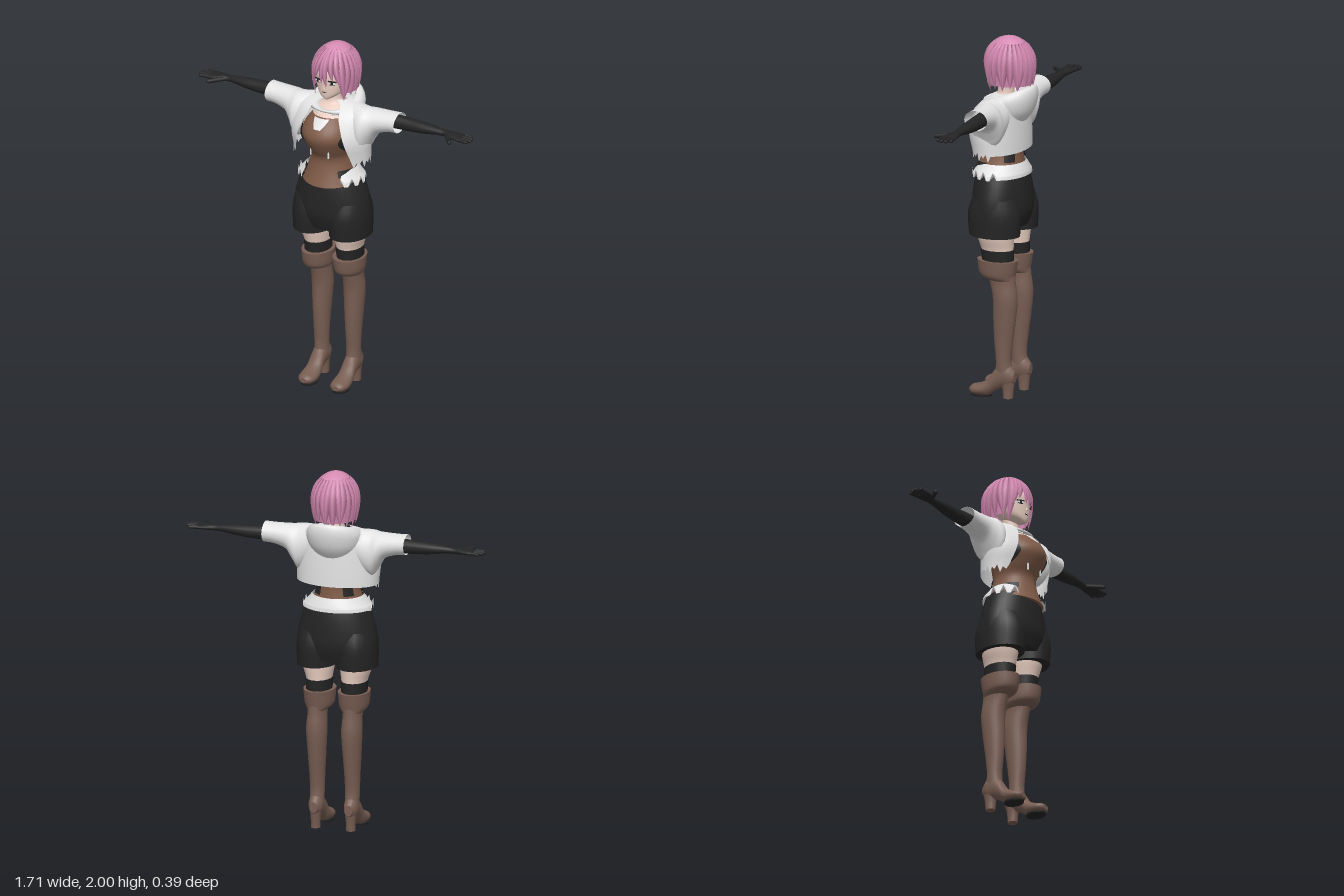
import * as THREE from 'three';

const mat = (name, color, side = THREE.FrontSide) => {
  const m = new THREE.MeshStandardMaterial({ color, side });
  m.name = name;
  return m;
};

// Surface from rows of points; faces are turned outwards from the centre of the part
function grid(rows, wrap) {
  const n = rows[0].length, pos = rows.flat(2), idx = [];
  const P = i => new THREE.Vector3().fromArray(pos, i * 3);
  for (let r = 0; r < rows.length - 1; r++)
    for (let j = 0; j < (wrap ? n : n - 1); j++) {
      const a = r * n + j, b = r * n + (j + 1) % n, c = a + n, d = b + n;
      idx.push(a, b, c, b, d, c);
    }
  const centre = new THREE.Vector3();
  rows.flat().forEach(p => centre.add(new THREE.Vector3(...p)));
  centre.divideScalar(pos.length / 3);
  let volume = 0;
  for (let i = 0; i < idx.length; i += 3) {
    const [a, b, c] = [0, 1, 2].map(k => P(idx[i + k]).sub(centre));
    volume += a.dot(b.cross(c));
  }
  if (volume < 0) idx.reverse();
  const g = new THREE.BufferGeometry();
  g.setAttribute('position', new THREE.Float32BufferAttribute(pos, 3));
  g.setIndex(idx);
  g.computeVertexNormals();
  return g;
}

// Smooth loft. Ring: [position on axis, side centre, side radius, front, back, tilt]
function loft(rings, { axis = 'y', seg = 24, sub = 4, range, caps = !range, jag, s = 1 } = {}) {
  const at = i => rings[Math.max(0, Math.min(rings.length - 1, i))];
  const rows = [], total = (rings.length - 1) * sub;
  for (let k = 0; k <= total; k++) {
    const i = Math.min(Math.floor(k / sub), rings.length - 2), u = k / sub - i;
    const [t, c, r, f, b, tilt = 0] = at(i).map((_, q) => {
      const [p0, p1, p2, p3] = [at(i - 1)[q], at(i)[q], at(i + 1)[q], at(i + 2)[q]];
      return p1 + 0.5 * u * (p2 - p0 + u * (2 * p0 - 5 * p1 + 4 * p2 - p3 + u * (3 * (p1 - p2) + p3 - p0)));
    });
    const [a0, a1] = range ? range(t) : [0, Math.PI * 2], row = [];
    for (let j = 0; j < (range ? seg + 1 : seg); j++) {
      const a = a0 + (a1 - a0) * j / seg;
      const x = c + r * Math.sin(a), z = (f + b) / 2 + (f - b) / 2 * Math.cos(a);
      const y = t + tilt * Math.cos(a) - (jag && k === total ? jag(a, j) : 0);
      row.push(axis === 'y' ? [s * x, y, z] : axis === 'x' ? [s * y, z, x] : [s * x, z, y]);
    }
    rows.push(row);
  }
  if (caps) {
    const flat = row => {
      const m = [0, 1, 2].map(q => row.reduce((sum, p) => sum + p[q], 0) / row.length);
      return row.map(() => m);
    };
    const first = rows[0], last = rows[rows.length - 1];
    rows.unshift(flat(first), first);
    rows.push(last, flat(last));
  }
  return grid(rows, !range);
}

// Point on the rounded hair surface at an angle (0 is front) and height
function hairPoint(a, y, k = 1) {
  const h = y > 1.84 ? Math.sqrt(Math.max(0, 1 - ((y - 1.84) / 0.16) ** 2)) : 1 - (1.84 - y) ** 2 * 7;
  return [Math.sin(a) * 0.124 * h * k, y, -0.035 + Math.cos(a) * 0.139 * h * k];
}

// Tapered strand running down the hair surface
function lock(a0, a1, top, tip, w) {
  const rows = [], centre = new THREE.Vector3(0, 1.83, -0.035), n = 9;
  const at = u => new THREE.Vector3(...hairPoint(a0 + (a1 - a0) * u * u, top + (tip - top) * u, 1.01));
  for (let i = 0; i <= n; i++) {
    const u = i / n, p = at(u), N = p.clone().sub(centre).setY(0).normalize();
    const B = at(Math.min(1, u + 0.05)).sub(at(u - 0.05)).cross(N).normalize();
    const r = w * (0.02 + Math.min(1, 0.45 + u * 2) * (1 - u ** 3));
    rows.push([[1, 0], [0, 0.35], [-1, 0], [0, -0.35]].map(([x, y]) =>
      p.clone().addScaledVector(B, x * r).addScaledVector(N, y * r).toArray()));
  }
  return grid(rows, true);
}

export function createModel() {
  const model = new THREE.Group();
  const skin = mat('skin', 0xe8cdc0), pink = mat('pink hair', 0xd68bb3, THREE.DoubleSide);
  const white = mat('white cloth', 0xe2e2e2, THREE.DoubleSide), black = mat('black cloth', 0x242424, THREE.DoubleSide);
  const leather = mat('boot leather', 0x785e53), corsetBrown = mat('corset brown', 0x7e5a47);
  const add = (name, geo, material) => {
    const m = new THREE.Mesh(geo, material);
    m.name = name;
    model.add(m);
    return m;
  };
  const plate = (name, material, w, h, x, y, z, ry, rz = 0) => {
    const m = add(name, new THREE.BoxGeometry(w, h, 0.006), material);
    m.position.set(x, y, z);
    m.rotation.set(0, ry, rz);
  };

  // Head, neck and upper chest
  add('head', loft([[1.708, 0, 0.015, 0.085, 0.05], [1.722, 0, 0.042, 0.091, 0], [1.75, 0, 0.074, 0.094, -0.06],
    [1.81, 0, 0.098, 0.095, -0.11], [1.87, 0, 0.105, 0.092, -0.13], [1.93, 0, 0.085, 0.06, -0.12]]), skin);
  add('neckAndChest', loft([[1.55, 0, 0.1, 0.14, -0.09], [1.61, 0, 0.105, 0.115, -0.09], [1.65, 0, 0.085, 0.065, -0.07],
    [1.68, 0, 0.045, 0.035, -0.06], [1.75, 0, 0.042, 0.03, -0.06]]), skin);
  add('nose', new THREE.ConeGeometry(0.007, 0.022, 6), skin).position.set(0, 1.788, 0.096);
  plate('mouth', black, 0.022, 0.003, 0, 1.752, 0.093, 0);
  for (const s of [1, -1]) {
    plate('eyeWhite', white, 0.036, 0.014, s * 0.044, 1.813, 0.087, s * 0.42);
    plate('iris', black, 0.012, 0.014, s * 0.043, 1.813, 0.089, s * 0.42);
    plate('upperLash', black, 0.046, 0.006, s * 0.044, 1.822, 0.088, s * 0.42, s * -0.1);
    plate('lowerLash', black, 0.03, 0.003, s * 0.045, 1.805, 0.088, s * 0.42);
  }

  // Hair cap with a raised edge over the face, then strands
  const cap = [];
  for (let i = 0; i <= 14; i++) {
    const row = [];
    for (let j = 0; j < 40; j++) {
      const a = j / 40 * Math.PI * 2, d = Math.min(a, Math.PI * 2 - a);
      const bottom = 1.88 - 0.14 * THREE.MathUtils.smoothstep(d, 0.75, 1.15);
      row.push(hairPoint(a, 2 - (2 - bottom) * (1 - Math.cos(i / 14 * Math.PI / 2))));
    }
    cap.push(row);
  }
  add('hairCap', grid(cap, true), pink);
  const bangs = [[0, 0.12, 1.785, 0.02], [-0.15, -0.12, 1.8, 0.02], [0.25, 0.42, 1.825, 0.02], [-0.35, -0.5, 1.825, 0.022],
    [0.5, 0.75, 1.79, 0.022], [-0.55, -0.8, 1.78, 0.022], [0.75, 0.95, 1.7, 0.026], [-0.75, -0.95, 1.7, 0.026]];
  for (const [a0, a1, tip, w] of bangs) add('bangStrand', lock(a0, a1, 1.985, tip, w), pink);
  for (let i = 0; i < 19; i++) {
    const a = 1.05 + i / 18 * (Math.PI * 2 - 2.1);
    add('hairStrand', lock(a, a + (i % 3 - 1) * 0.12, 1.97, 1.705 + (i * 7 % 5) * 0.008, 0.027), pink);
  }

  // Corset with neckline, side panels and small tabs
  const corset = [[1.61, 0, 0.1, 0.125, -0.1], [1.56, 0, 0.135, 0.172, -0.11], [1.5, 0, 0.148, 0.195, -0.115],
    [1.43, 0, 0.126, 0.165, -0.11], [1.37, 0, 0.11, 0.132, -0.105], [1.3, 0, 0.128, 0.14, -0.112],
    [1.235, 0, 0.158, 0.168, -0.125, -0.018]].map(r => (r.length < 6 ? [...r, 0] : r));
  add('corset', loft(corset, { seg: 32 }), corsetBrown);
  const grown = (from, to, d) => corset.slice(from, to).map(([t, c, r, f, b, q]) => [t, c, r + d, f + d, b - d, q]);
  add('neckline', loft(grown(0, 2, 0.005), { seg: 8, range: t => [-(t - 1.535) * 6, (t - 1.535) * 6] }), white);
  for (const s of [1, -1]) {
    add('bustSidePanel', loft(grown(1, 4, 0.008), { s, seg: 10,
      range: t => [1.25 - 0.4 * Math.cos((t - 1.49) * 22), 1.3 + 0.5 * Math.cos((t - 1.49) * 22)] }), black);
    add('backPatch', loft([[1.37, 0, 0.116, 0.138, -0.112], [1.315, 0, 0.13, 0.142, -0.117]],
      { s, seg: 8, range: () => [2.1, 2.6] }), black);
    add('sideStrap', loft([[1.31, 0, 0.135, 0.147, -0.115], [1.275, 0, 0.15, 0.158, -0.12]],
      { s, seg: 8, range: () => [0.75, 1.4] }), black);
    plate('corsetTab', white, 0.01, 0.04, s * 0.055, 1.41, 0.146, s * 0.4);
    plate('collarStrap', white, 0.035, 0.006, s * 0.055, 1.628, 0.09, s * 0.5, s * 0.1);
  }

  // Torn shirt hem around the waist, open at the front
  add('shirtHem', loft([[1.305, 0, 0.14, 0.135, -0.118], [1.27, 0, 0.17, 0.155, -0.135], [1.245, 0, 0.195, 0.165, -0.145]],
    { seg: 40, range: t => [0.85 - (1.305 - t) * 3, Math.PI * 2 - 0.85 + (1.305 - t) * 3],
      jag: (a, j) => (Math.cos(a) > -0.3 ? (j % 3 === 0 ? -0.03 : 0.018) : 0.012) }), white);

  // Cropped jacket: body, sleeves and lowered hood
  const open = t => 0.45 + Math.max(0, 1.62 - t) * 1.7;
  add('jacketBody', loft([[1.69, 0, 0.08, 0.03, -0.08], [1.672, 0, 0.17, 0.06, -0.1], [1.62, 0, 0.22, 0.12, -0.122],
    [1.5, 0, 0.236, 0.172, -0.132], [1.385, 0, 0.228, 0.155, -0.137]],
    { seg: 48, range: t => [open(t), Math.PI * 2 - open(t)],
      jag: (a, j) => (Math.cos(a) > -0.3 ? [0, 0.045, 0.01, 0.025][j % 4] : 0.01) }), white);
  add('hood', loft([[1.575, 0, 0.13, 0.07, -0.125, 0.045], [1.615, 0, 0.152, 0.1, -0.17, 0.02], [1.66, 0, 0.155, 0.105, -0.19, -0.015],
    [1.688, 0, 0.135, 0.1, -0.18, -0.04], [1.685, 0, 0.105, 0.085, -0.14, -0.04], [1.65, 0, 0.075, 0.065, -0.09, -0.01]],
    { seg: 36, caps: false }), white);

  for (const s of [1, -1]) {
    add('sleeve', loft([[0.405, -0.022, 0.068, 1.677, 1.565], [0.35, -0.02, 0.067, 1.675, 1.56], [0.28, -0.015, 0.075, 1.675, 1.535],
      [0.24, -0.01, 0.09, 1.676, 1.475], [0.2, 0, 0.1, 1.68, 1.42], [0.12, -0.02, 0.08, 1.685, 1.5]],
      { s, axis: 'x', caps: false }), white);

    // Gloved arm and hand
    add('glovedArm', loft([[0.3, -0.035, 0.04, 1.66, 1.575], [0.45, -0.04, 0.037, 1.655, 1.58], [0.55, -0.04, 0.035, 1.65, 1.588],
      [0.63, -0.04, 0.027, 1.643, 1.6], [0.68, -0.04, 0.023, 1.637, 1.603], [0.72, -0.036, 0.035, 1.637, 1.603],
      [0.77, -0.034, 0.043, 1.633, 1.605], [0.79, -0.034, 0.04, 1.63, 1.608]], { s, axis: 'x', seg: 18 }), black);
    const finger = (name, x0, z0, x1, z1, r) => {
      const a = new THREE.Vector3(s * x0, 1.619, z0), b = new THREE.Vector3(s * x1, 1.617, z1);
      const m = add(name, new THREE.CapsuleGeometry(r, a.distanceTo(b) - 2 * r, 3, 8), black);
      m.position.copy(a).add(b).multiplyScalar(0.5);
      m.quaternion.setFromUnitVectors(new THREE.Vector3(0, 1, 0), b.sub(a).normalize());
    };
    [0.83, 0.848, 0.853, 0.842].forEach((tip, i) =>
      finger('finger', 0.76, -0.064 + i * 0.02, tip, -0.072 + i * 0.025, 0.01));
    finger('thumb', 0.69, -0.03, 0.765, 0.058, 0.012);

    // Leg: short leg, thigh, band and boot
    add('shortsLeg', loft([[1.12, 0.11, 0.1, 0.125, -0.12], [1.03, 0.112, 0.112, 0.152, -0.146], [0.91, 0.112, 0.11, 0.146, -0.141]],
      { s }), black);
    add('thigh', loft([[0.97, 0.108, 0.092, 0.11, -0.11], [0.9, 0.106, 0.086, 0.1, -0.106], [0.82, 0.1, 0.068, 0.08, -0.1],
      [0.7, 0.1, 0.06, 0.06, -0.1]], { s }), skin);
    add('thighBand', loft([[0.83, 0.1, 0.073, 0.086, -0.104], [0.765, 0.1, 0.069, 0.078, -0.102]], { s }), black);
    add('bootCuff', loft([[0.77, 0.098, 0.086, 0.106, -0.125], [0.71, 0.098, 0.082, 0.098, -0.115], [0.68, 0.098, 0.074, 0.082, -0.11],
      [0.66, 0.1, 0.053, 0.04, -0.112]], { s }), leather);
    add('bootShaft', loft([[0.7, 0.1, 0.055, 0.05, -0.11], [0.64, 0.1, 0.052, 0.032, -0.115], [0.55, 0.1, 0.057, 0.014, -0.125],
      [0.42, 0.1, 0.05, 0.012, -0.113], [0.3, 0.1, 0.043, 0.006, -0.097], [0.2, 0.1, 0.04, -0.003, -0.088],
      [0.12, 0.1, 0.039, 0.005, -0.108]], { s }), leather);
    add('bootFoot', loft([[0.15, 0.1, 0.022, 0.045, 0.018], [0.13, 0.1, 0.043, 0.06, 0.006], [0.09, 0.1, 0.052, 0.07, 0.003],
      [0.04, 0.1, 0.047, 0.1, 0.006], [0, 0.1, 0.041, 0.16, 0.035], [-0.04, 0.1, 0.04, 0.2, 0.055],
      [-0.08, 0.1, 0.038, 0.19, 0.062], [-0.114, 0.1, 0.022, 0.15, 0.09]], { s, axis: 'z', seg: 18 }), leather);
    add('bootHeel', loft([[0.11, 0.1, 0.034, -0.025, -0.115], [0.05, 0.1, 0.027, -0.04, -0.105], [0, 0.1, 0.026, -0.045, -0.1]],
      { s, seg: 14 }), leather);
    const sole = add('bootSole', new THREE.CylinderGeometry(0.046, 0.044, 0.009, 20), black);
    sole.scale.z = 1.3;
    sole.position.set(s * 0.1, 0.0045, 0.085);
  }

  // Hips of the shorts
  add('shortsHips', loft([[1.25, 0, 0.172, 0.14, -0.13], [1.19, 0, 0.195, 0.15, -0.142], [1.11, 0, 0.217, 0.157, -0.15],
    [1.03, 0, 0.224, 0.157, -0.15], [0.95, 0, 0.215, 0.13, -0.125]], { seg: 36 }), black);
  return model;
}
